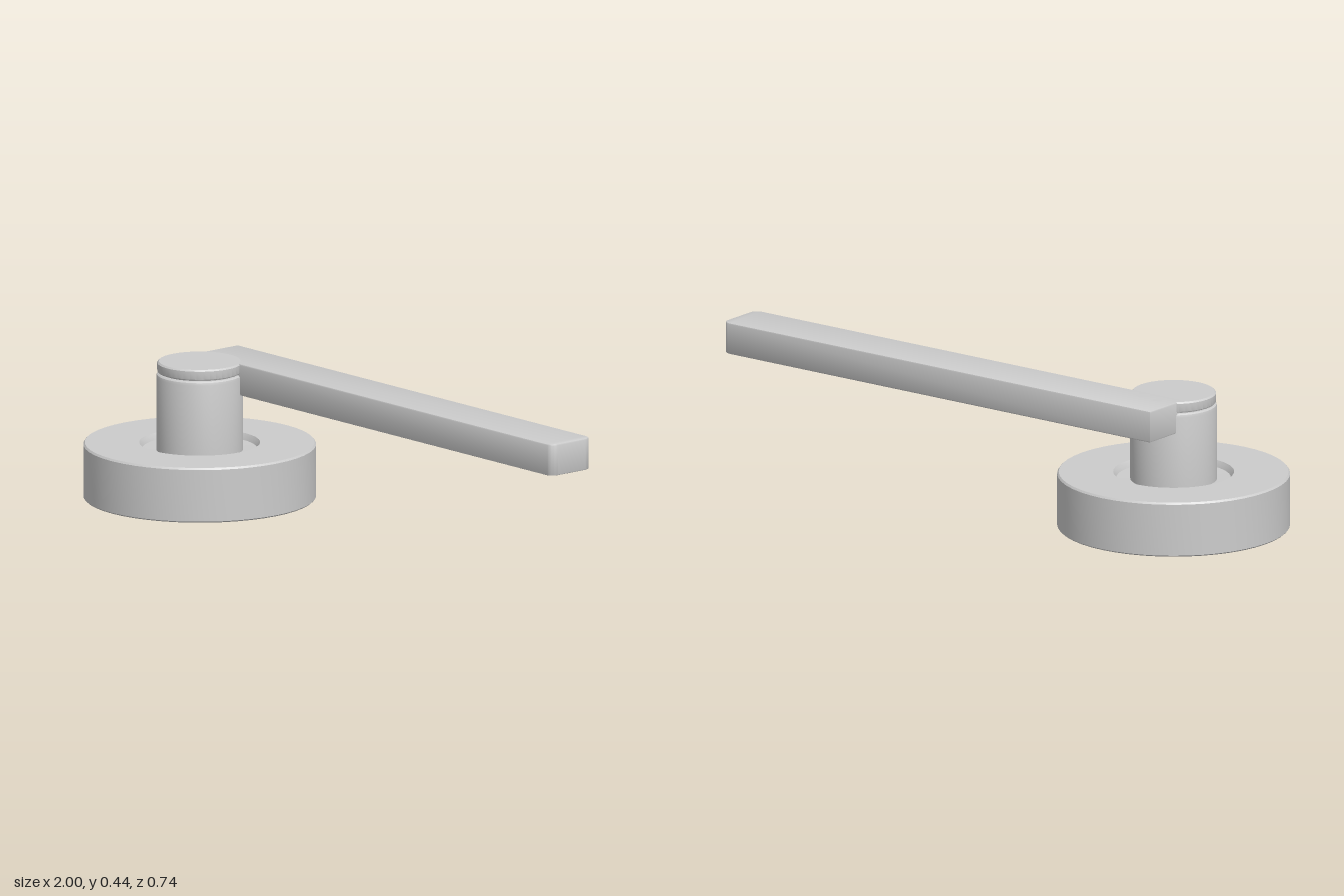
import * as THREE from 'three';
import { toCreasedNormals } from 'three/addons/utils/BufferGeometryUtils.js';

const material = new THREE.MeshStandardMaterial({ color: 0xcccccc });
const PIVOT_X = -0.63;

function addPart(group, name, geometry, crease = 0.6) {
  const mesh = new THREE.Mesh(toCreasedNormals(geometry, crease), material);
  mesh.name = name;
  group.add(mesh);
  return mesh;
}

// Turned part around the spindle axis; profile runs from bottom to top
function turned(group, name, profile, segments) {
  const points = profile.map(([r, y]) => new THREE.Vector2(r, y));
  addPart(group, name, new THREE.LatheGeometry(points, segments)).position.x = PIVOT_X;
}

// Bar outline seen from above: square inner end, rounded free end
function leverGeometry() {
  const bevel = 0.005, radius = 0.025;
  const x0 = -0.72 + bevel, x1 = 1 - bevel;
  const z0 = 0.065 + bevel, z1 = 0.238 - bevel;
  const shape = new THREE.Shape();
  shape.moveTo(x0, z0);
  shape.lineTo(x1 - radius, z0);
  shape.absarc(x1 - radius, z0 + radius, radius, -Math.PI / 2, 0, false);
  shape.absarc(x1 - radius, z1 - radius, radius, 0, Math.PI / 2, false);
  shape.lineTo(x0, z1);
  shape.closePath();
  const geometry = new THREE.ExtrudeGeometry(shape, {
    depth: 0.103 - 2 * bevel, bevelEnabled: true, bevelSize: bevel,
    bevelThickness: bevel, bevelSegments: 2, curveSegments: 5,
  });
  geometry.rotateX(-Math.PI / 2); // outline y becomes -z, depth becomes height
  geometry.translate(0, 0.34 + bevel, 0);
  return geometry;
}

export function createModel() {
  const group = new THREE.Group();
  group.name = 'doorHandle';

  // Round rose with a shallow recess below and a dished seat around the neck
  turned(group, 'rose', [
    [0, 0.012], [0.335, 0.012], [0.34, 0], [0.366, 0], [0.37, 0.004],
    [0.37, 0.172], [0.365, 0.178], [0.192, 0.178], [0.188, 0.172],
    [0.182, 0.158], [0.12, 0.155],
  ], 48);

  // Neck with softened shoulder, closed under the cap
  turned(group, 'neck', [
    [0.138, 0.15], [0.138, 0.393], [0.136, 0.401], [0.131, 0.405], [0.12, 0.405],
  ], 40);

  // Cap disc above a narrow groove
  turned(group, 'cap', [
    [0.122, 0.403], [0.124, 0.409], [0.133, 0.409], [0.135, 0.412],
    [0.135, 0.438], [0.13, 0.443], [0, 0.443],
  ], 40);

  // Lever bar offset behind the spindle
  addPart(group, 'lever', leverGeometry());

  return group;
}
